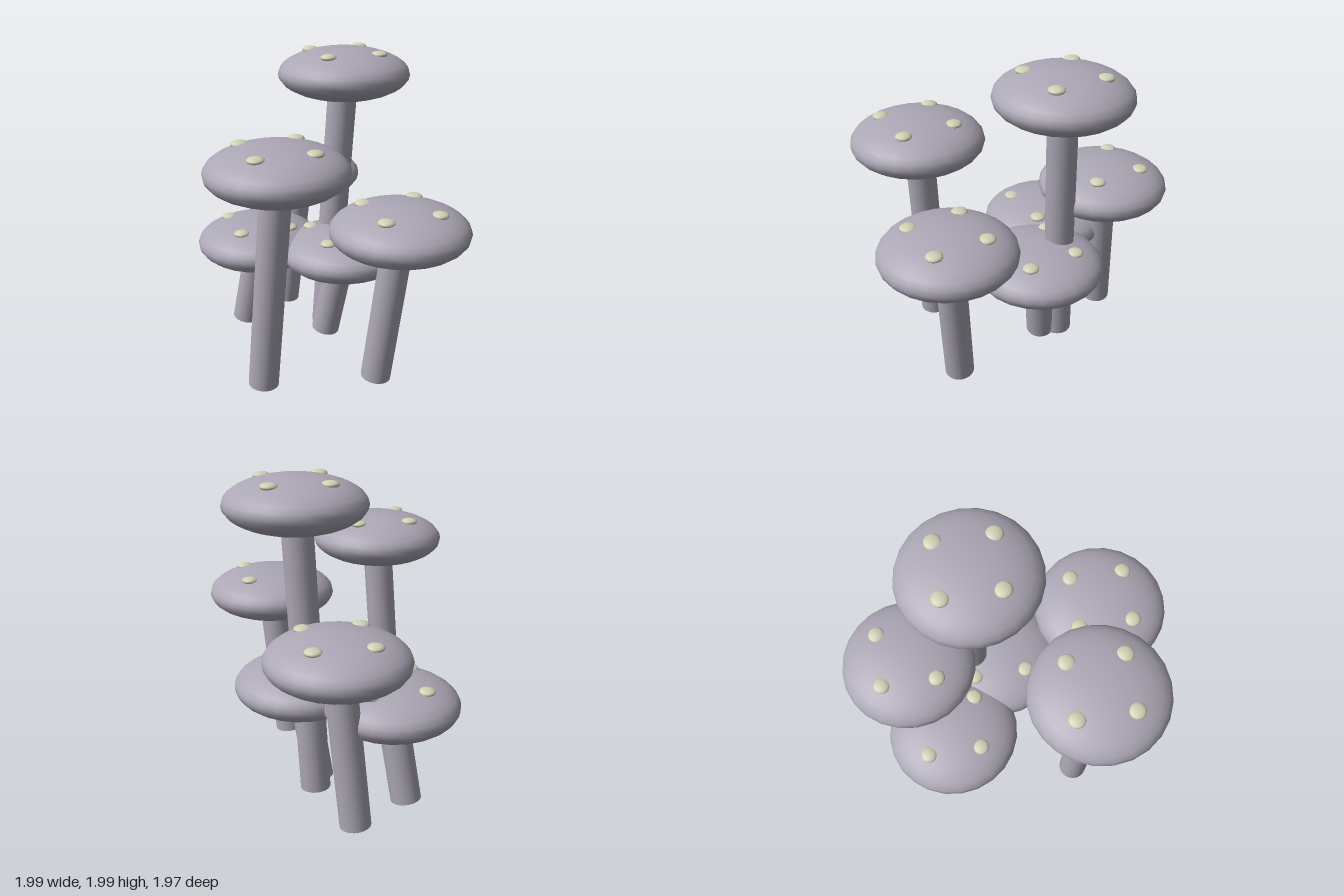
import * as THREE from 'three';

const CAP_R = 0.422, CAP_H = 0.165, STEM_R = 0.095, LEAN = 0.13, BASE_Y = 0.02;

export function createModel() {
  const group = new THREE.Group();
  const flesh = new THREE.MeshStandardMaterial({ name: 'mauveGrey', color: 0xaca7b5, side: THREE.DoubleSide });
  const cream = new THREE.MeshStandardMaterial({ name: 'paleCream', color: 0xd0d1b5 });

  const capGeo = new THREE.SphereGeometry(1, 24, 16).scale(CAP_R, CAP_H, CAP_R);
  const spotGeo = new THREE.SphereGeometry(1, 16, 10).scale(0.052, 0.022, 0.052);

  const add = (parent, name, geo, mat) => {
    const mesh = new THREE.Mesh(geo, mat);
    mesh.name = name;
    parent.add(mesh);
    return mesh;
  };

  // Each mushroom: flattened cap, leaning hollow stem, four spots
  function mushroom(name, x, y, z) {
    const m = new THREE.Group();
    m.name = name;
    m.position.set(x, y, z);
    add(m, 'cap', capGeo, flesh);

    const axis = new THREE.Vector3(LEAN, y - BASE_Y, 0);
    const stem = add(m, 'stem',
      new THREE.CylinderGeometry(STEM_R, STEM_R, axis.length(), 24, 1, true), flesh);
    stem.position.copy(axis).multiplyScalar(-0.5);
    stem.rotation.z = -Math.atan2(axis.x, axis.y);

    for (let i = 0; i < 4; i++) {
      const a = i * Math.PI / 2;
      add(m, 'spot', spotGeo, cream)
        .position.set(0.238 * Math.cos(a), 0.134, 0.238 * Math.sin(a));
    }
    group.add(m);
  }

  mushroom('tallMushroom', -0.03, 1.83, -0.352);
  mushroom('frontMushroom', -0.04, 1.435, 0.56);
  mushroom('leftMushroom', 0.57, 1.045, 0.187);
  mushroom('backMushroom', -0.46, 1.045, -0.565);
  mushroom('lowRightMushroom', -0.577, 0.65, -0.16);
  mushroom('lowMiddleMushroom', 0.02, 0.65, -0.242);
  return group;
}
